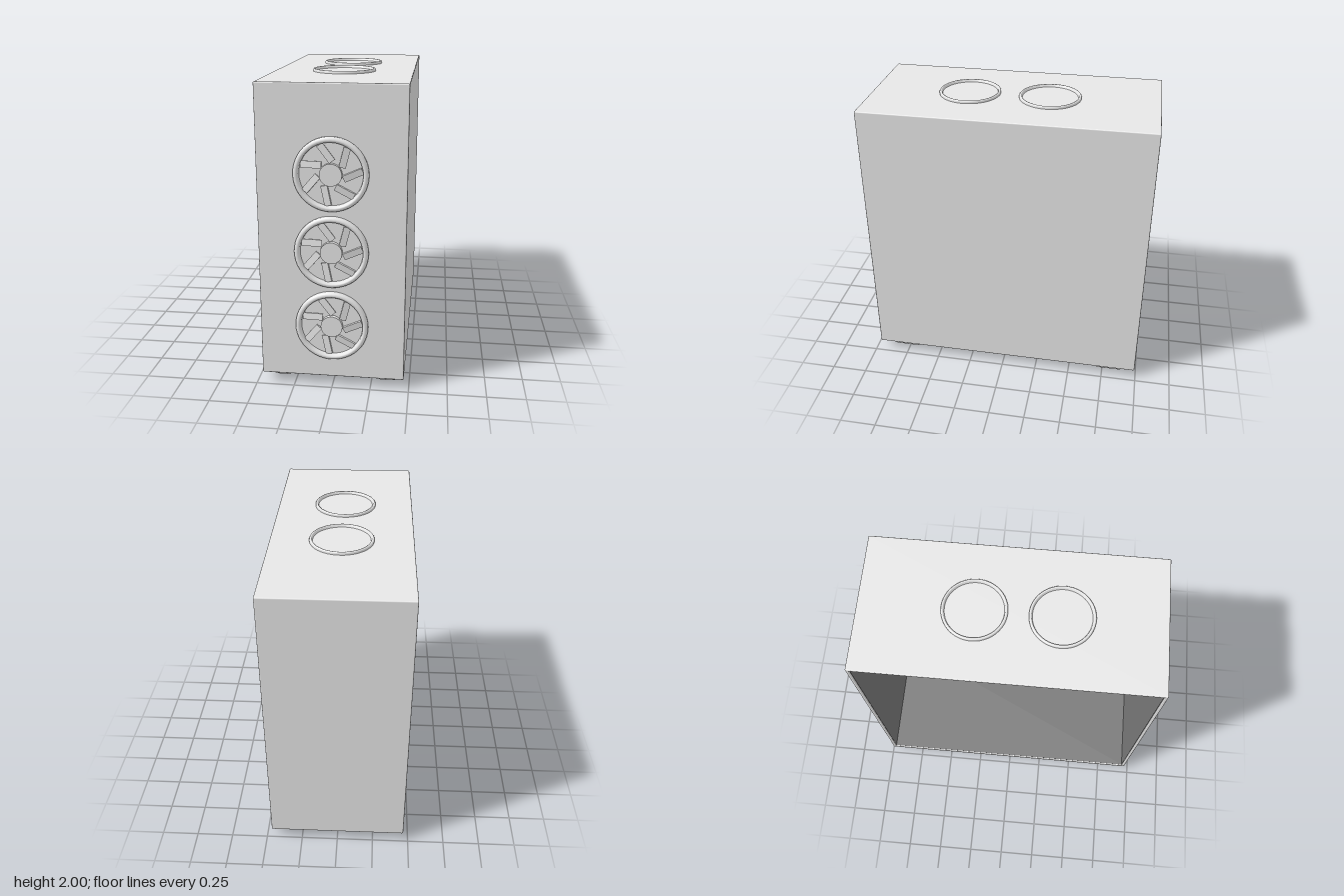
import * as THREE from 'three';
import { RoundedBoxGeometry } from 'three/addons/geometries/RoundedBoxGeometry.js';

function material(name, color) {
  const m = new THREE.MeshStandardMaterial({ color });
  m.name = name;
  return m;
}
const grey = material('light grey', 0xe7e7e7);
const dark = material('dark grey', 0x787878);

function add(parent, name, geometry, x = 0, y = 0, z = 0, mat = grey) {
  const mesh = new THREE.Mesh(geometry, mat);
  mesh.name = name;
  mesh.position.set(x, y, z);
  parent.add(mesh);
  return mesh;
}

// Ring turned from [radius, height] points, running from the outer foot to the inner foot
function turnedRing(profile) {
  return new THREE.LatheGeometry(profile.map((p) => new THREE.Vector2(...p)), 48);
}

// Front fan: rim, hub and seven slanted blades, facing +z
function createFan(y) {
  const fan = new THREE.Group();
  fan.name = 'frontFan';
  fan.position.set(0, y, 0.965);
  const rim = turnedRing([[0.234, -0.005], [0.234, 0.016], [0.229, 0.026], [0.218, 0.033],
    [0.208, 0.031], [0.2, 0.022], [0.197, -0.005]]);
  add(fan, 'fanRim', rim.rotateX(Math.PI / 2));
  const hub = new THREE.CylinderGeometry(0.07, 0.07, 0.035, 32).rotateX(Math.PI / 2);
  add(fan, 'fanHub', hub, 0, 0, 0.01);
  const blade = new THREE.BoxGeometry(0.128, 0.043, 0.014);
  for (let i = 0; i < 7; i++) {
    const a = (i / 7) * Math.PI * 2;
    const b = add(fan, 'fanBlade', blade, Math.cos(a) * 0.136, Math.sin(a) * 0.136, 0.006);
    b.rotation.set(0.15, 0, a + 0.42, 'ZYX');
  }
  return fan;
}

export function createModel() {
  const model = new THREE.Group();
  model.name = 'computerCase';
  const W = 0.932, H = 1.918, D = 1.955, midY = 1.023, midZ = -0.012, T = 0.022;

  // Five thin walls, open on the -x side
  const wall = (name, w, h, d, x, y, z) =>
    add(model, name, new RoundedBoxGeometry(w, h, d, 2, 0.008), x, midY + y, midZ + z);
  wall('sidePanel', T, H, D, (W - T) / 2, 0, 0);
  wall('topPanel', W, T, D, 0, (H - T) / 2, 0);
  wall('bottomPanel', W, T, D, 0, (T - H) / 2, 0);
  wall('frontPanel', W, H, T, 0, 0, (D - T) / 2);
  wall('backPanel', W, H, T, 0, 0, (T - D) / 2);

  // Dark lining on the inner faces of the frame
  const inW = W - T - 0.01, inH = H - 2 * T, inD = D - 2 * T, L = 0.004;
  const inX = -T / 2 + 0.005;
  for (const s of [-1, 1]) {
    add(model, s < 0 ? 'floorLining' : 'ceilingLining', new THREE.BoxGeometry(inW, L, inD),
      inX, midY + s * inH / 2, midZ, dark);
    add(model, s < 0 ? 'backLining' : 'frontLining', new THREE.BoxGeometry(inW, inH, L),
      inX, midY, midZ + s * inD / 2, dark);
  }

  // Feet
  const foot = new RoundedBoxGeometry(0.115, 0.065, 0.192, 2, 0.014);
  for (const x of [-0.352, 0.352])
    for (const z of [0.775, -0.797]) add(model, 'foot', foot, x, 0.0325, z);

  // Front fans
  for (const y of [0.43, 0.93, 1.43]) model.add(createFan(y));

  // Rings on the top
  const ring = turnedRing([[0.21, -0.005], [0.21, 0.01], [0.206, 0.016], [0.2, 0.018],
    [0.193, 0.015], [0.187, -0.005]]);
  for (const z of [-0.25, 0.3]) add(model, 'topRing', ring, 0, 1.982, z);

  // Main board against the closed side
  add(model, 'mainBoard', new THREE.BoxGeometry(0.02, 1.35, 1.1), 0.435, 1.08, -0.32);

  // Graphics card
  add(model, 'graphicsCard', new RoundedBoxGeometry(0.22, 0.24, 1.2, 3, 0.03), 0.335, 0.785, -0.1);

  // Cooler: base block and a row of fins
  add(model, 'coolerBase', new THREE.BoxGeometry(0.1, 0.26, 0.4), 0.385, 1.47, -0.06);
  const fin = new THREE.BoxGeometry(0.2, 0.36, 0.022);
  for (let i = 0; i < 9; i++) add(model, 'coolerFin', fin, 0.25, 1.47, 0.14 - i * 0.048);

  // Coolant hose running up towards the top of the front wall, with end caps
  const points = [[0, 1.22, 0.36], [0, 1.4, 0.5], [0, 1.58, 0.635], [0, 1.88, 0.84]]
    .map((p) => new THREE.Vector3(...p));
  const path = new THREE.CatmullRomCurve3(points);
  add(model, 'coolantHose', new THREE.TubeGeometry(path, 32, 0.035, 16));
  for (const t of [0, 1]) {
    const p = path.getPointAt(t);
    const cap = add(model, 'hoseEnd', new THREE.CircleGeometry(0.035, 16), p.x, p.y, p.z);
    const out = path.getTangentAt(t).multiplyScalar(t ? 1 : -1);
    cap.quaternion.setFromUnitVectors(new THREE.Vector3(0, 0, 1), out);
  }

  return model;
}
